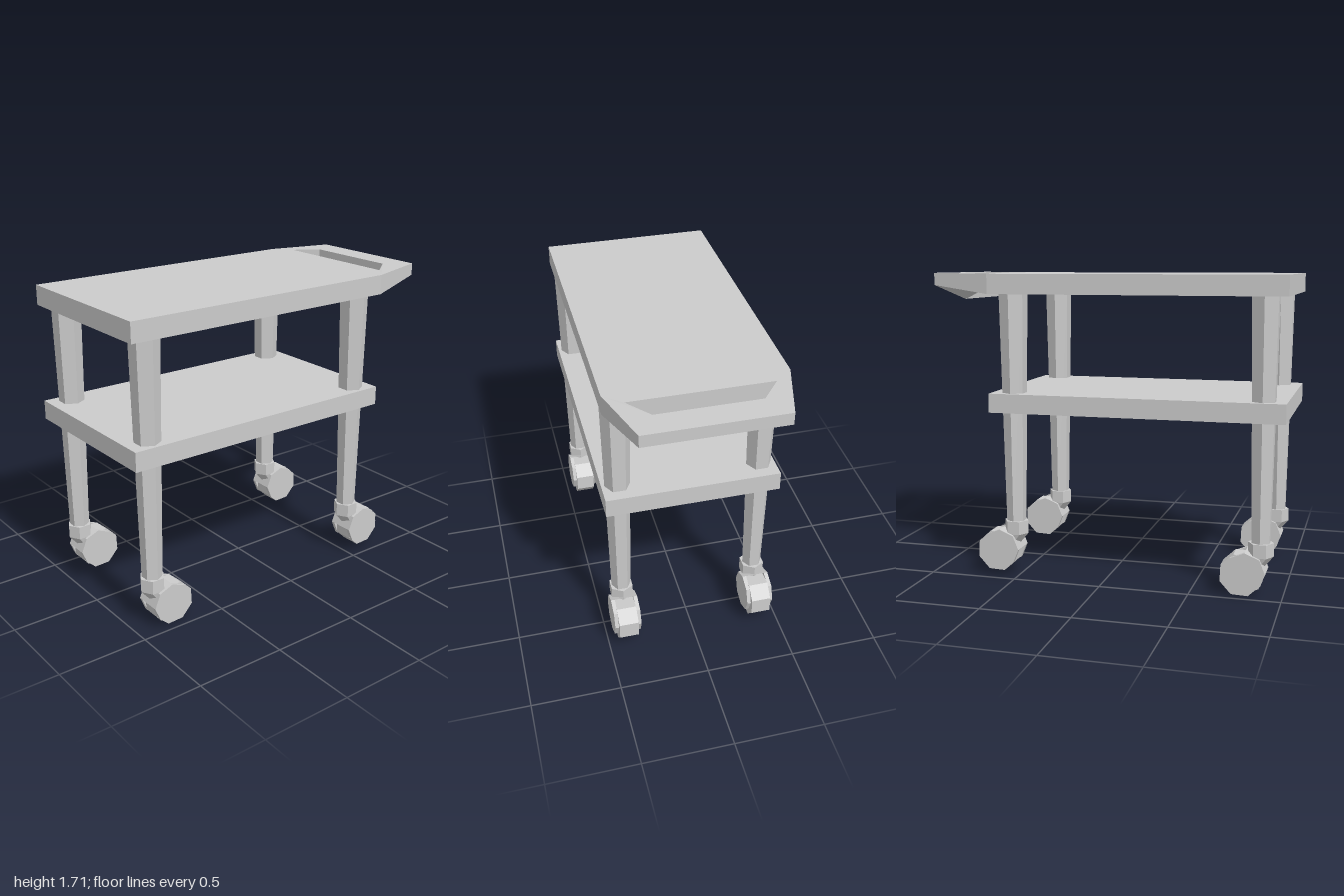
import * as THREE from 'three';

const material = new THREE.MeshStandardMaterial({ color: 0xcccccc, flatShading: true, side: THREE.DoubleSide });

function add(parent, name, geometry, x = 0, y = 0, z = 0) {
  const mesh = new THREE.Mesh(geometry, material);
  mesh.name = name;
  mesh.position.set(x, y, z);
  parent.add(mesh);
  return mesh;
}

// Flat-faced geometry from a list of four-cornered faces
function fromQuads(quads) {
  const pos = [];
  for (const [a, b, c, d] of quads) pos.push(...a, ...b, ...c, ...a, ...c, ...d);
  const g = new THREE.BufferGeometry();
  g.setAttribute('position', new THREE.Float32BufferAttribute(pos, 3));
  g.computeVertexNormals();
  return g;
}

// Box without its underside
function trayGeometry(w, h, d) {
  const g = new THREE.BoxGeometry(w, h, d);
  const index = Array.from(g.index.array);
  index.splice(18, 6);
  g.setIndex(index);
  g.clearGroups();
  return g;
}

// Top tray, narrowing into a pull handle with a slot
function topGeometry() {
  const T = 1.715, B = 1.605, PANEL = 1.65, TIP = 1.718;
  const quads = [];
  const both = (a, b, c, d) => {
    quads.push([a, b, c, d]);
    quads.push([d, c, b, a].map(([x, y, z]) => [x, y, -z]));
  };
  // Faces that cross the middle, given as two points swept from +z to -z
  const across = (p, q) => quads.push([p, q, [q[0], q[1], -q[2]], [p[0], p[1], -p[2]]]);
  // Outline corners: back end, shoulder, tip and the two slot edges
  const end = y => [-1, y, 0.478], shoulder = y => [0.64, y, 0.478], tip = y => [1, y, 0.373];
  const slotIn = y => [0.722, y, 0.38], slotOut = y => [0.855, y, 0.275];

  // top face
  across(end(T), shoulder(T));
  across(shoulder(T), slotIn(T));
  across(slotOut(TIP), tip(TIP));
  both(shoulder(T), tip(TIP), slotOut(TIP), slotIn(T));
  // outer walls
  across(end(B), end(T));
  both(end(B), shoulder(B), shoulder(T), end(T));
  both(shoulder(B), tip(1.65), tip(TIP), shoulder(T));
  across(tip(TIP), tip(1.65));
  // slot walls
  across(slotIn(T), slotIn(1.615));
  across(slotOut(1.57), slotOut(TIP));
  both(slotIn(T), slotOut(TIP), slotOut(1.57), slotIn(1.615));
  // sloped underside of the handle
  across(tip(1.65), slotOut(1.57));
  both([0.72, 1.615, 0.455], slotIn(1.615), slotOut(1.57), tip(1.65));
  // recessed underside panel
  across(shoulder(PANEL), end(PANEL));
  across(slotIn(PANEL), shoulder(PANEL));
  return fromQuads(quads);
}

// Caster with hexagonal socket, leaning fork, wheel, side caps and rear guard
function makeCaster() {
  const caster = new THREE.Group();
  caster.name = 'caster';
  const socket = new THREE.CylinderGeometry(0.07, 0.07, 0.075, 6);
  socket.rotateY(Math.PI / 6);
  add(caster, 'socket', socket, 0, 0.257, 0);

  const fork = new THREE.CylinderGeometry(0.07, 0.045, 0.1, 6);
  fork.rotateY(Math.PI / 6);
  const p = fork.attributes.position;
  for (let i = 0; i < p.count; i++) p.setX(i, p.getX(i) + (0.05 - p.getY(i)) * 0.6);
  add(caster, 'fork', fork, 0, 0.17, 0);

  const wheel = new THREE.CylinderGeometry(0.12, 0.12, 0.11, 8);
  wheel.rotateX(Math.PI / 2).rotateZ(0.436);
  add(caster, 'wheel', wheel, 0.1, 0.118, 0);
  for (const s of [-1, 1]) {
    const cap = new THREE.CylinderGeometry(0.112, 0.112, 0.022, 8);
    cap.rotateX(Math.PI / 2);
    add(caster, 'wheelCap', cap, 0.078, 0.136, s * 0.065);
  }
  const guard = new THREE.CylinderGeometry(0.112, 0.112, 0.15, 2, 1, true, Math.PI, Math.PI / 2);
  guard.rotateX(Math.PI / 2);
  add(caster, 'wheelGuard', guard, 0.078, 0.136, 0);
  return caster;
}

export function createModel() {
  const cart = new THREE.Group();
  cart.name = 'serviceCart';

  add(cart, 'topShelf', topGeometry());
  add(cart, 'lowerShelf', trayGeometry(1.643, 0.107, 0.956), -0.1785, 1.003, 0);
  const panel = new THREE.PlaneGeometry(1.643, 0.956);
  panel.rotateX(Math.PI / 2);
  add(cart, 'lowerShelfPanel', panel, -0.1785, 0.995, 0);

  // Tapered hexagonal legs; the casters at the handle end sit slightly higher
  for (const [x, lift] of [[-0.875, 0], [0.52, 0.03]]) {
    for (const z of [-0.391, 0.391]) {
      const bottom = 0.27 + lift, top = 1.65;
      const leg = new THREE.CylinderGeometry(0.081, 0.055, top - bottom, 6);
      add(cart, 'leg', leg, x, (top + bottom) / 2, z);
      const caster = makeCaster();
      caster.position.set(x, lift, z);
      cart.add(caster);
    }
  }
  return cart;
}
